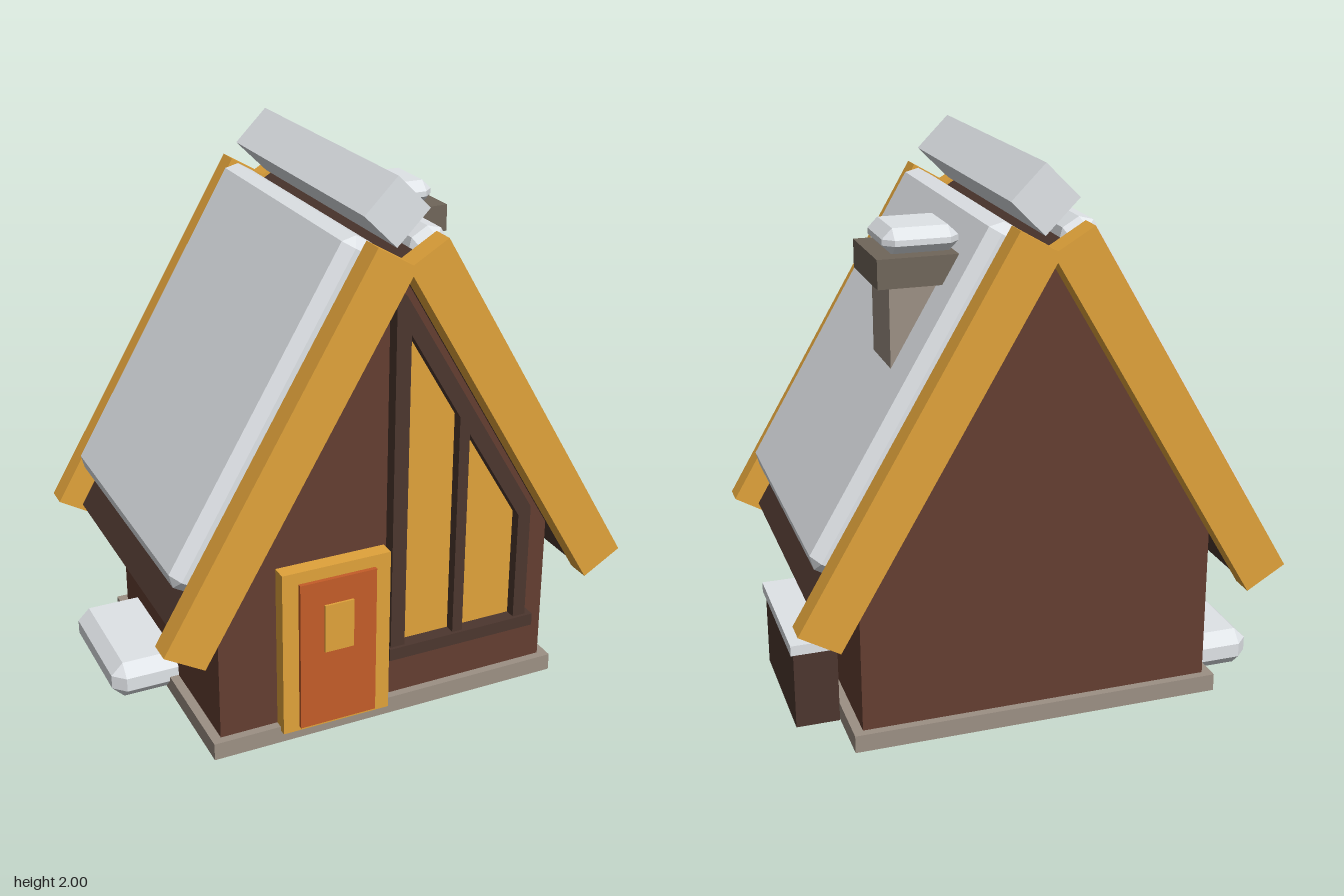
import * as THREE from 'three';
import { ConvexGeometry } from 'three/addons/geometries/ConvexGeometry.js';

const mat = (name, color) => {
  const m = new THREE.MeshStandardMaterial({ color, flatShading: true });
  m.name = name;
  return m;
};

export function createModel() {
  const group = new THREE.Group();
  const snow = mat('snow', 0xe6eaee);
  const wall = mat('wallBrown', 0x643e31);
  const timber = mat('darkTimber', 0x4c362e);
  const amber = mat('amberWood', 0xe0a23a);
  const doorRed = mat('doorOrange', 0xc45c28);
  const stone = mat('stone', 0x9c9084);
  const darkStone = mat('darkStone', 0x70665a);

  const add = (name, geometry, material, x = 0, y = 0, z = 0, rot = 0) => {
    const mesh = new THREE.Mesh(geometry, material);
    mesh.name = name;
    mesh.position.set(x, y, z);
    mesh.rotation.z = rot;
    group.add(mesh);
    return mesh;
  };
  // box from its lower and upper limits
  const block = (name, material, x0, x1, y0, y1, z0, z1) =>
    add(name, new THREE.BoxGeometry(x1 - x0, y1 - y0, z1 - z0), material,
      (x0 + x1) / 2, (y0 + y1) / 2, (z0 + z1) / 2);
  // box with every edge chamfered by c
  const chamferBox = (w, h, d, c) => {
    const points = [];
    for (const sx of [-1, 1]) for (const sy of [-1, 1]) for (const sz of [-1, 1]) {
      for (let axis = 0; axis < 3; axis++) {
        const inset = [0, 1, 2].map((i) => (i === axis ? 0 : c));
        points.push(new THREE.Vector3(
          sx * (w / 2 - inset[0]), sy * (h / 2 - inset[1]), sz * (d / 2 - inset[2])));
      }
    }
    return new ConvexGeometry(points);
  };
  const polygon = (pts) => pts.map(([x, y]) => new THREE.Vector2(x, y));
  const extrude = (shape, depth) =>
    new THREE.ExtrudeGeometry(shape, { depth, bevelEnabled: false });

  // foundation and gabled walls
  block('foundation', stone, -0.68, 0.68, 0, 0.065, -0.55, 0.55);
  const gable = new THREE.Shape(polygon(
    [[-0.645, 0.065], [0.645, 0.065], [0.645, 0.64], [0, 1.725], [-0.645, 0.64]]));
  add('walls', extrude(gable, 1.04), wall, 0, 0, -0.52);

  // roof slopes: deck, snow blanket and gable boards
  const pitch = THREE.MathUtils.degToRad(30.5);
  for (const s of [-1, 1]) {
    const side = s > 0 ? 'left' : 'right';
    add(side + 'RoofDeck', new THREE.BoxGeometry(0.06, 1.456, 1.14), timber,
      s * 0.395, 1.112, 0, s * pitch);
    add(side + 'RoofSnow', chamferBox(0.14, 1.302, 1.08, 0.037), snow,
      s * 0.43, 1.235, 0, s * pitch);
    for (const f of [-1, 1]) {
      add(side + (f > 0 ? 'Front' : 'Back') + 'GableBoard',
        new THREE.BoxGeometry(0.164, 1.49, 0.085), amber,
        s * 0.4325, 1.13, f * 0.6125, s * pitch);
    }
  }
  add('ridgeSnow', new THREE.BoxGeometry(0.167, 0.167, 1.08), snow, 0, 1.882, 0, Math.PI / 4);

  // chimney
  block('chimneyShaft', stone, 0.24, 0.47, 1.15, 1.6, -0.34, -0.11);
  block('chimneyCap', darkStone, 0.195, 0.52, 1.59, 1.69, -0.388, -0.063);
  add('chimneySnow', chamferBox(0.26, 0.09, 0.26, 0.035), snow, 0.355, 1.73, -0.225);

  // door
  block('doorFrame', amber, -0.43, -0.02, 0.05, 0.685, 0.5, 0.577);
  block('door', doorRed, -0.37, -0.08, 0.067, 0.64, 0.52, 0.592);
  block('doorWindow', amber, -0.28, -0.17, 0.36, 0.545, 0.592, 0.6);

  // tall sloping window
  const panes = [
    [[0.045, 0.29], [0.24, 0.29], [0.24, 1.14], [0.045, 1.47]],
    [[0.28, 0.29], [0.495, 0.29], [0.495, 0.71], [0.28, 1.07]],
  ];
  const frame = new THREE.Shape(polygon(
    [[-0.01, 0.25], [0.545, 0.25], [0.545, 0.735], [0.025, 1.61], [-0.01, 1.58]]));
  for (const pane of panes) {
    frame.holes.push(new THREE.Path(polygon(pane)));
    add('windowPane', extrude(new THREE.Shape(polygon(pane)), 0.009), amber, 0, 0, 0.521);
  }
  add('windowFrame', extrude(frame, 0.055), timber, 0, 0, 0.515);
  block('windowSill', timber, -0.018, 0.57, 0.243, 0.29, 0.515, 0.582);

  // wood store and snow drift beside the walls
  block('woodStore', timber, 0.682, 0.84, 0, 0.29, -0.32, 0.198);
  block('woodStoreSnow', snow, 0.675, 0.85, 0.29, 0.328, -0.33, 0.207);
  add('snowDrift', chamferBox(0.3, 0.143, 0.515, 0.045), snow, -0.74, 0.0735, -0.167);

  return group;
}
